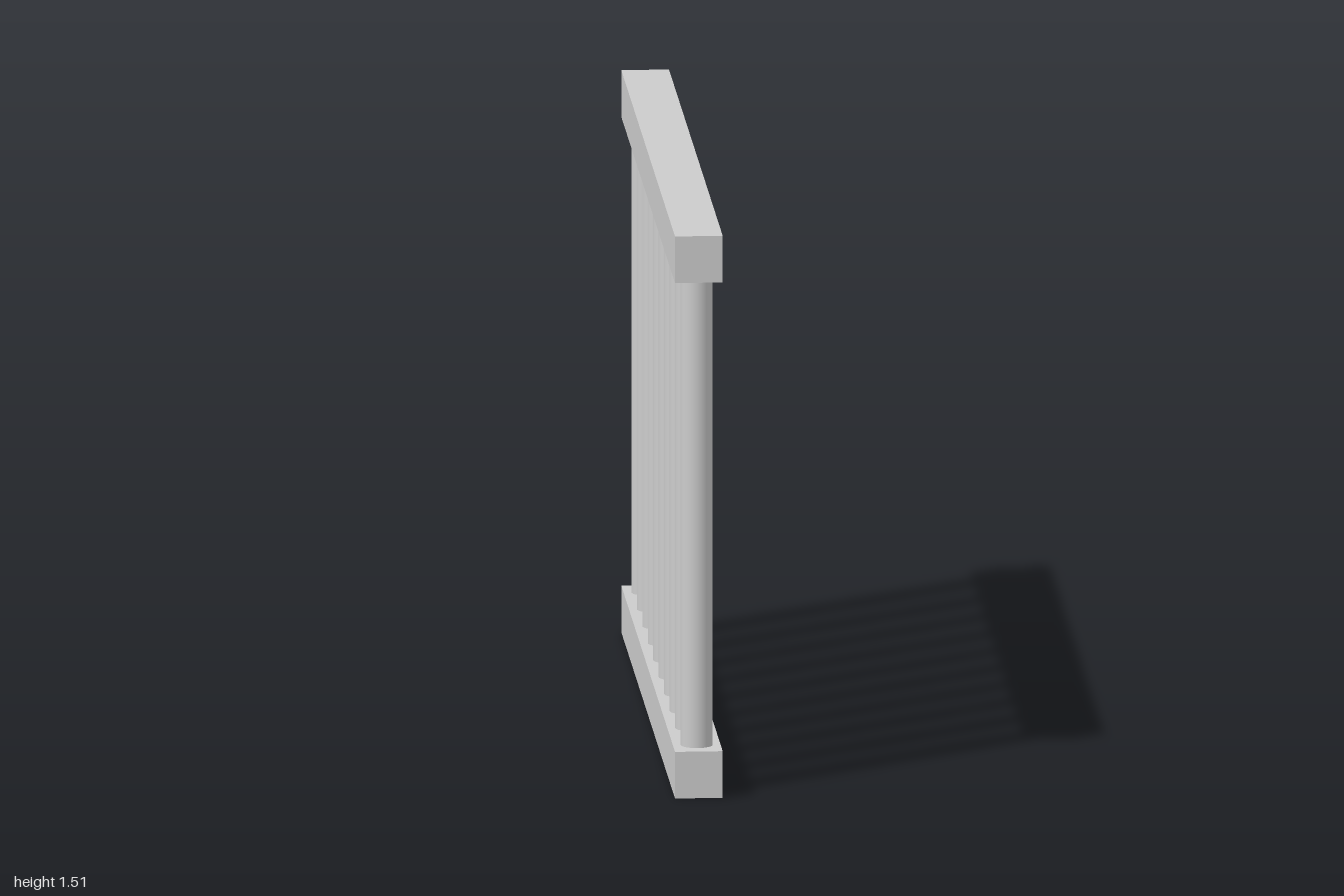
import * as THREE from 'three';

const RAIL = 0.125;      // square section of the rails
const HEIGHT = 1.506;
const LENGTH = 2;
const BAR_RADIUS = 0.042;
const BAR_COUNT = 10;
const BAR_REACH = 0.917; // z of the outermost bars

export function createModel() {
  const group = new THREE.Group();
  group.name = 'railing';
  const material = new THREE.MeshStandardMaterial({ color: 0xcccccc });

  const add = (name, geometry, y, z = 0) => {
    const mesh = new THREE.Mesh(geometry, material);
    mesh.name = name;
    mesh.position.set(0, y, z);
    group.add(mesh);
  };

  // Bottom and top rails
  const railGeometry = new THREE.BoxGeometry(RAIL, RAIL, LENGTH);
  add('bottomRail', railGeometry, RAIL / 2);
  add('topRail', railGeometry, HEIGHT - RAIL / 2);

  // Evenly spaced round bars between the rails
  const barGeometry = new THREE.CylinderGeometry(BAR_RADIUS, BAR_RADIUS, HEIGHT - 2 * RAIL, 32);
  for (let i = 0; i < BAR_COUNT; i++) {
    const z = BAR_REACH * (1 - (2 * i) / (BAR_COUNT - 1));
    add(`bar${i + 1}`, barGeometry, HEIGHT / 2, z);
  }

  return group;
}
